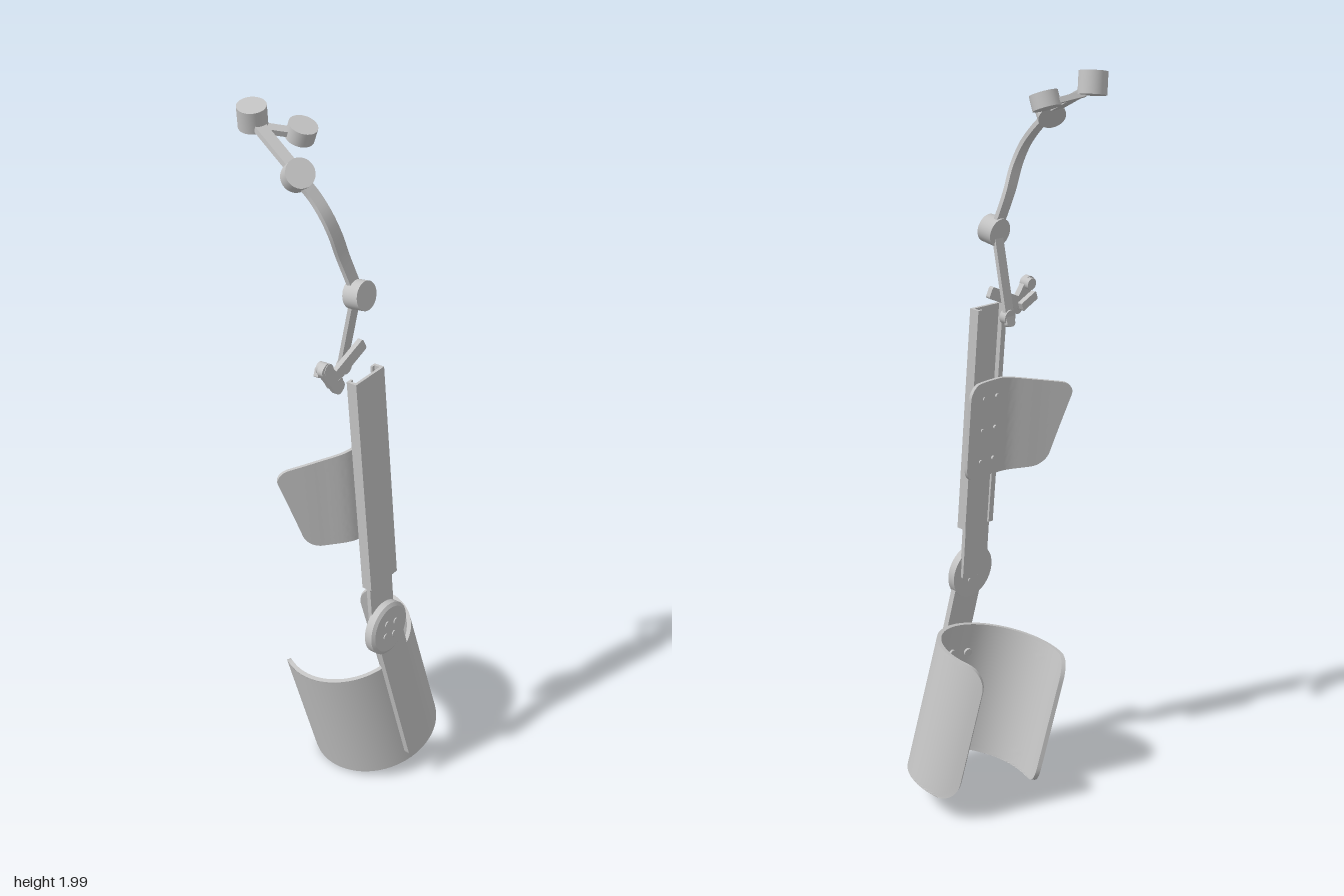
import * as THREE from 'three';
import { toCreasedNormals } from 'three/addons/utils/BufferGeometryUtils.js';

const V = (x, y, z) => new THREE.Vector3(x, y, z);
const UP = V(0, 1, 0);

export function createModel() {
  const root = new THREE.Group();
  root.name = 'legBrace';
  const grey = new THREE.MeshStandardMaterial({ color: 0xc4c4c4 });
  grey.name = 'lightGrey';

  const add = (name, geometry, parent = root) => {
    const mesh = new THREE.Mesh(geometry, grey);
    mesh.name = name;
    parent.add(mesh);
    return mesh;
  };

  // Cylinder centred on a point, pointing along an axis
  const disc = (name, at, axis, r, h, parent = root, r2 = r) => {
    const mesh = add(name, new THREE.CylinderGeometry(r2, r, h, 32), parent);
    mesh.position.copy(at);
    mesh.quaternion.setFromUnitVectors(UP, axis.clone().normalize());
    return mesh;
  };

  // Flat bar with rounded corners from a to b, its broad face turned to 'face'
  const bar = (name, a, b, width, thick, face, radius = width * 0.2, parent = root) => {
    const dir = b.clone().sub(a), l = dir.length(), w = width / 2, r = radius;
    const s = new THREE.Shape();
    s.absarc(w - r, r, r, -Math.PI / 2, 0);
    s.absarc(w - r, l - r, r, 0, Math.PI / 2);
    s.absarc(r - w, l - r, r, Math.PI / 2, Math.PI);
    s.absarc(r - w, r, r, Math.PI, Math.PI * 1.5);
    const g = new THREE.ExtrudeGeometry(s, { depth: thick, bevelEnabled: false, curveSegments: 8 });
    g.translate(0, 0, -thick / 2);
    const y = dir.normalize();
    const z = face.clone().addScaledVector(y, -face.dot(y)).normalize();
    const mesh = add(name, g, parent);
    mesh.quaternion.setFromRotationMatrix(new THREE.Matrix4().makeBasis(y.clone().cross(z), y, z));
    mesh.position.copy(a);
    return mesh;
  };

  // Closed skin through rings of equal size; each ring runs out along the
  // outer side and back along the inner side
  const loft = (rings) => {
    const n = rings[0].length, m = rings.length, index = [];
    for (let j = 0; j < m - 1; j++) for (let i = 0; i < n; i++) {
      const a = j * n + i, b = j * n + (i + 1) % n;
      index.push(a, b, b + n, a, b + n, a + n);
    }
    for (let i = 0; i < n / 2 - 1; i++) {
      const q = [i, n - 1 - i, n - 2 - i, i + 1];
      const t = q.map((k) => k + (m - 1) * n);
      index.push(q[0], q[1], q[2], q[0], q[2], q[3]);
      index.push(t[0], t[2], t[1], t[0], t[3], t[2]);
    }
    const g = new THREE.BufferGeometry();
    g.setAttribute('position', new THREE.Float32BufferAttribute(rings.flat().flatMap((p) => p.toArray()), 3));
    g.setIndex(index);
    return toCreasedNormals(g, 0.6);
  };

  // Curved sheet with rounded corners; point(s, y, offset) maps it into space
  const shell = (point, s0, s1, h, corner, thick, taper = 0, cols = 40, rows = 32) => {
    const rings = [];
    for (let j = 0; j <= rows; j++) {
      const y = (h / 2) * Math.sin((j / rows - 0.5) * Math.PI);
      const d = Math.max(0, Math.abs(y) - h / 2 + corner);
      const inset = corner - Math.sqrt(Math.max(0, corner * corner - d * d));
      const a = s0 + inset + taper * (0.5 - y / h), b = s1 - inset, ring = [];
      for (let i = 0; i <= cols; i++) ring.push(point(a + (b - a) * i / cols, y, thick / 2));
      for (let i = cols; i >= 0; i--) ring.push(point(a + (b - a) * i / cols, y, -thick / 2));
      rings.push(ring);
    }
    return loft(rings);
  };

  // Shank cuff: tilted open cylinder
  const shank = new THREE.Group();
  shank.name = 'shankCuff';
  shank.position.set(0.047, 0.24, 0.032);
  shank.quaternion.setFromUnitVectors(UP, V(-0.075, 0.385, -0.05).normalize());
  root.add(shank);
  const R = 0.18;
  add('shankShell', shell((s, y, o) => V((R + o) * Math.sin(s / R), y, (R + o) * Math.cos(s / R)),
    -2.29 * R, 2.08 * R, 0.392, 0.06, 0.012), shank);
  for (const a of [-0.32, 0.02]) for (const y of [-0.09, 0.01, 0.11]) {
    const n = V(Math.sin(a), 0, Math.cos(a));
    disc('shankRivet', n.clone().multiplyScalar(R - 0.008).setY(y), n, 0.011, 0.008, shank, 0.013);
  }

  // Lower strut and knee joint
  const front = V(0, 0.1, 1);
  bar('lowerStrut', V(-0.045, 0.6, 0.188), V(0.043, 0.105, 0.249), 0.1, 0.016, V(0, 0, 1), 0.03);
  const knee = new THREE.Group();
  knee.name = 'kneeJoint';
  knee.position.set(-0.05, 0.6, 0.19);
  knee.rotation.x = -0.095;
  root.add(knee);
  disc('kneeDisc', V(0, 0, 0), V(0, 0, 1), 0.076, 0.022, knee);
  disc('kneeCap', V(0, 0, 0.014), V(0, 0, 1), 0.076, 0.006, knee, 0.066);
  for (let k = 0; k < 4; k++) {
    const a = 0.5 + k * Math.PI / 2, x = 0.026 * Math.cos(a), y = 0.026 * Math.sin(a);
    disc('kneeScrew', V(x, y, 0.018), V(0, 0, 1), 0.009, 0.004, knee);
    disc('kneeBackScrew', V(x, y, -0.012), V(0, 0, 1), 0.006, 0.004, knee);
  }

  // Upper beam: channel open to the back, with a sliding bar inside
  const upper = new THREE.Group();
  upper.name = 'upperBeam';
  upper.position.set(-0.043, 0.75, 0.177);
  upper.rotation.x = -0.088;
  root.add(upper);
  const section = new THREE.Shape([
    [-0.055, 0], [0.055, 0], [0.055, 0.03], [0.038, 0.03], [0.038, 0.024], [0.047, 0.024],
    [0.047, 0.008], [-0.047, 0.008], [-0.047, 0.024], [-0.038, 0.024], [-0.038, 0.03], [-0.055, 0.03],
  ].map(([x, y]) => new THREE.Vector2(x, y)));
  const channel = new THREE.ExtrudeGeometry(section, { depth: 0.627, bevelEnabled: false });
  channel.rotateX(-Math.PI / 2);
  add('channel', channel, upper);
  bar('slidingBar', V(-0.005, -0.16, -0.014), V(0, 0.3, -0.016), 0.093, 0.012, V(0, 0, 1), 0.01, upper);

  // Thigh plate behind the beam, wrapping to one side
  const path = new THREE.CatmullRomCurve3([
    V(-0.222, 0, -0.15), V(-0.13, 0, -0.085), V(-0.06, 0, -0.042), V(0, 0, -0.036), V(0.083, 0, -0.045),
  ]);
  const L = path.getLength();
  const thigh = add('thighPlate', shell((s, y, o) => {
    const u = THREE.MathUtils.clamp(s / L, 0, 1), t = path.getTangentAt(u);
    return path.getPointAt(u).add(V(-t.z * o, y * (0.84 + 0.16 * Math.min(1, u * 1.6)), t.x * o));
  }, 0, L, 0.275, 0.04, 0.009, 0.07), upper);
  thigh.position.y = 0.29;
  for (const x of [-0.025, 0.025]) for (const y of [0.2, 0.29, 0.38])
    disc('thighRivet', V(x, y, -0.043), V(0, 0, 1), 0.006, 0.006, upper);

  // Bracket above the beam
  bar('bracketArm', V(-0.135, 1.368, 0.062), V(0.002, 1.425, 0.062), 0.032, 0.014, front, 0.006);
  bar('bracketTab', V(-0.108, 1.35, 0.08), V(-0.165, 1.44, 0.07), 0.036, 0.016, front, 0.014);
  bar('bracketBackTab', V(-0.09, 1.375, 0.036), V(-0.145, 1.4, 0.036), 0.024, 0.014, front, 0.004);
  disc('bracketPin', V(-0.15, 1.425, 0.066), V(0, 0.1, 1), 0.016, 0.03);
  disc('bracketPost', V(-0.112, 1.378, 0.06), V(0, 0, 1), 0.009, 0.05);

  // Jointed arm
  bar('armBase', V(-0.03, 1.335, 0.018), V(-0.03, 1.57, 0.064), 0.03, 0.011, front, 0.01);
  disc('armFoot', V(-0.03, 1.36, 0.028), front, 0.02, 0.02);
  disc('lowerArmJoint', V(-0.03, 1.58, 0.076), V(0, 0.2, 1), 0.037, 0.045);

  const bend = new THREE.CatmullRomCurve3([
    V(-0.03, 1.59, 0.065), V(-0.038, 1.63, 0.053), V(-0.052, 1.68, 0.043), V(-0.08, 1.75, 0.042),
    V(-0.092, 1.8, 0.024), V(-0.096, 1.84, -0.008), V(-0.106, 1.875, -0.04),
  ]);
  const rings = [];
  for (let i = 0; i <= 30; i++) {
    const p = bend.getPointAt(i / 30), t = bend.getTangentAt(i / 30);
    const w = V(1, 0, 0).addScaledVector(t, -t.x).normalize(), n = w.clone().cross(t);
    rings.push([[-1, 1], [1, 1], [1, -1], [-1, -1]].map(([a, b]) =>
      p.clone().addScaledVector(w, a * 0.017).addScaledVector(n, b * 0.006)));
  }
  add('curvedLink', loft(rings));

  disc('middleArmJoint', V(-0.108, 1.884, -0.044), V(-0.4, 0.6, 0.7), 0.036, 0.045);
  bar('upperLink', V(-0.1, 1.893, -0.065), V(-0.068, 1.95, -0.2), 0.032, 0.014, V(0, 1, 0.3), 0.005);
  disc('topArmJoint', V(-0.065, 1.966, -0.218), V(-0.15, 1, 0.08), 0.036, 0.056);
  bar('tipLink', V(-0.06, 1.94, -0.2), V(0.01, 1.918, -0.14), 0.026, 0.014, V(0, 1, 0.3), 0.005);
  disc('tipJoint', V(0.012, 1.924, -0.134), V(0, 1, 0.35), 0.036, 0.038);

  return root;
}
